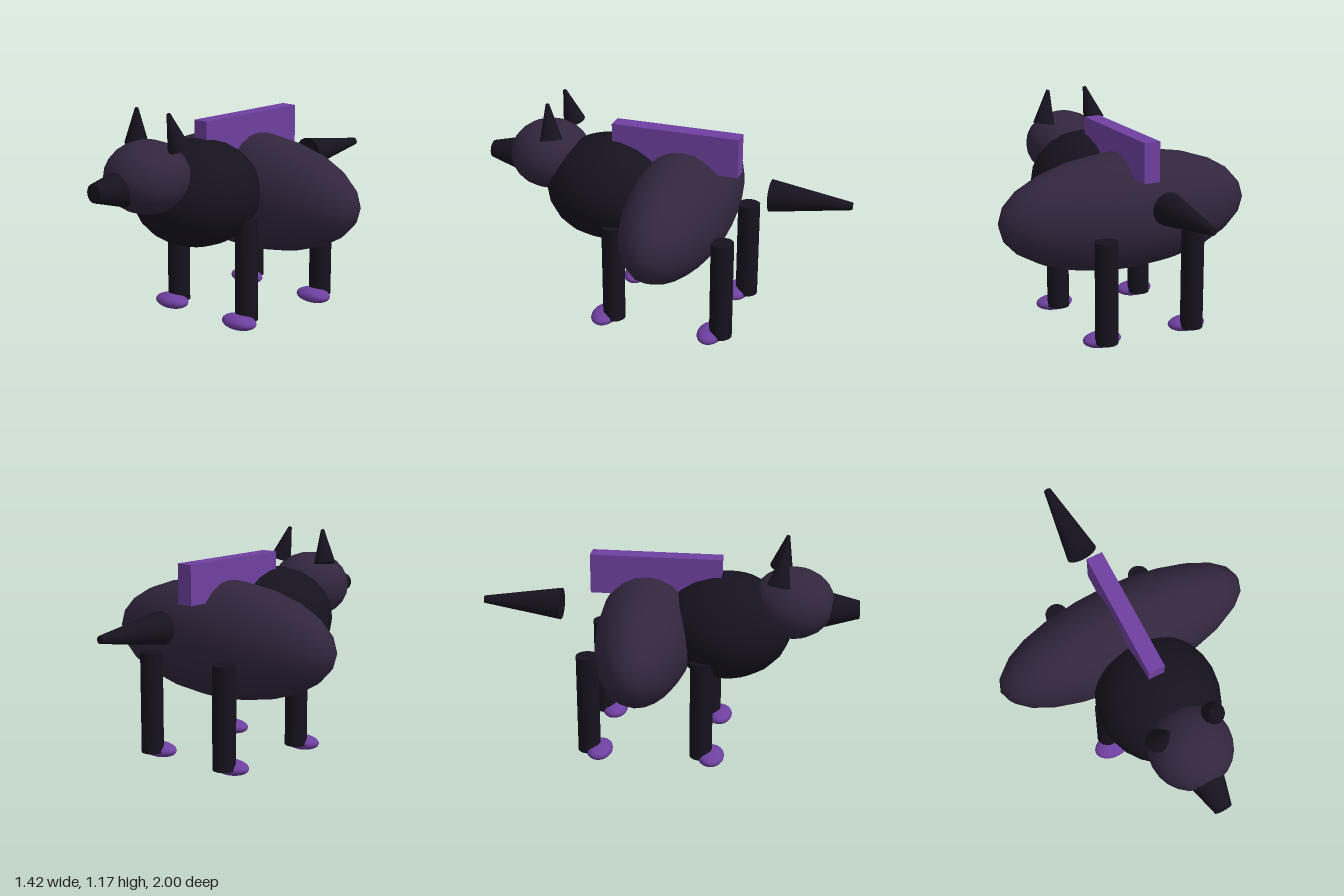
import * as THREE from 'three';

const fur = new THREE.MeshStandardMaterial({ color: 0x32263e });
const dark = new THREE.MeshStandardMaterial({ color: 0x16121e });
const purple = new THREE.MeshStandardMaterial({ color: 0x6f40a0 });

export function createModel() {
  const model = new THREE.Group();

  function add(name, geometry, material, x, y, z) {
    const mesh = new THREE.Mesh(geometry, material);
    mesh.name = name;
    mesh.position.set(x, y, z);
    model.add(mesh);
    return mesh;
  }

  function ellipsoid(name, material, [x, y, z], [rx, ry, rz]) {
    const geometry = new THREE.SphereGeometry(1, 24, 12).scale(rx, ry, rz);
    return add(name, geometry, material, x, y, z);
  }

  // Tapered round piece running from a base point to a tip point
  function taper(name, material, base, tip, baseRadius, tipRadius) {
    const a = new THREE.Vector3(...base);
    const axis = new THREE.Vector3(...tip).sub(a);
    const geometry = new THREE.CylinderGeometry(tipRadius, baseRadius, axis.length(), 20);
    const mid = a.addScaledVector(axis, 0.5);
    const mesh = add(name, geometry, material, mid.x, mid.y, mid.z);
    mesh.quaternion.setFromUnitVectors(new THREE.Vector3(0, 1, 0), axis.normalize());
    return mesh;
  }

  // Body masses
  ellipsoid('body', fur, [0, 0.645, -0.108], [0.712, 0.315, 0.262]);
  ellipsoid('chest', dark, [0, 0.7, 0.31], [0.325, 0.28, 0.345]);
  ellipsoid('head', fur, [0, 0.84, 0.655], [0.217, 0.185, 0.218]);

  // Muzzle, tail and back ridge
  taper('muzzle', dark, [0, 0.812, 0.8], [0, 0.817, 1], 0.1, 0.047);
  taper('tail', dark, [0, 0.77, -0.577], [0, 0.774, -1], 0.085, 0.02);
  add('backRidge', new THREE.BoxGeometry(0.088, 0.21, 0.69), purple, 0, 0.965, -0.063);

  for (const side of [1, -1]) {
    const label = side > 0 ? 'left' : 'right';

    // Ears lean inward and slightly forward
    taper(label + 'Ear', dark, [side * 0.155, 0.982, 0.582], [side * 0.113, 1.165, 0.614], 0.06, 0.009);

    // Legs with paws set forward of them
    for (const [end, z] of [['Front', 0.205], ['Back', -0.395]]) {
      taper(label + end + 'Leg', dark, [side * 0.25, 0.04, z], [side * 0.25, 0.585, z], 0.06, 0.06);
      ellipsoid(label + end + 'Paw', purple, [side * 0.25, 0.042, z + 0.055], [0.105, 0.04, 0.07]);
    }
  }

  return model;
}
